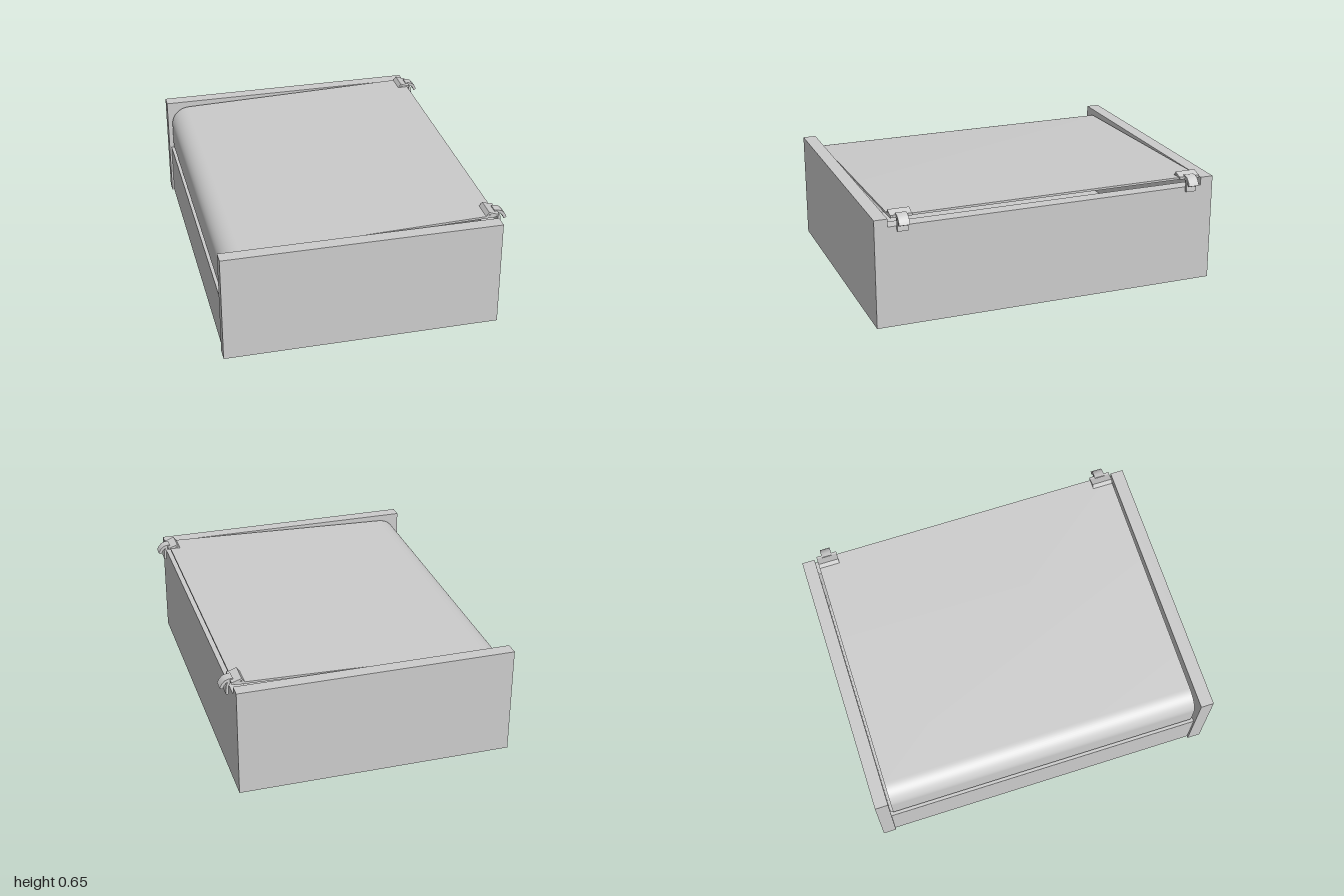
import * as THREE from 'three';
import { toCreasedNormals } from 'three/addons/utils/BufferGeometryUtils.js';

const material = new THREE.MeshStandardMaterial({ color: 0xcccccc });

function add(group, name, geometry) {
  const mesh = new THREE.Mesh(geometry, material);
  mesh.name = name;
  group.add(mesh);
  return mesh;
}

// Box given by its lower and upper limits on each axis
function block(group, name, [x0, x1], [y0, y1], [z0, z1]) {
  const mesh = add(group, name, new THREE.BoxGeometry(x1 - x0, y1 - y0, z1 - z0));
  mesh.position.set((x0 + x1) / 2, (y0 + y1) / 2, (z0 + z1) / 2);
  return mesh;
}

// Profile in x and y, extruded along z from z0 to z1
function extrude(group, name, shape, z0, z1) {
  const geometry = new THREE.ExtrudeGeometry(shape, { depth: z1 - z0, bevelEnabled: false, curveSegments: 16 });
  geometry.translate(0, 0, z0);
  return add(group, name, toCreasedNormals(geometry, 0.6));
}

// Closed strip of constant thickness around a polyline
function strip(points, thickness) {
  const p = points.map(([x, y]) => new THREE.Vector2(x, y));
  const side = (s) => p.map((q, i) => {
    const t = p[Math.min(i + 1, p.length - 1)].clone().sub(p[Math.max(i - 1, 0)]).normalize();
    return new THREE.Vector2(q.x - t.y * s * thickness / 2, q.y + t.x * s * thickness / 2);
  });
  return new THREE.Shape([...side(-1), ...side(1).reverse()]);
}

export function createModel() {
  const group = new THREE.Group();
  group.name = 'lidded box';

  // End panels, side walls and recessed floor
  block(group, 'frontPanel', [-0.805, 0.747], [0, 0.62], [0.925, 1]);
  block(group, 'backPanel', [-0.805, 0.747], [0, 0.62], [-1, -0.925]);
  block(group, 'clipSideWall', [0.67, 0.747], [0, 0.575], [-0.925, 0.925]);
  block(group, 'lowerSideWall', [-0.793, -0.768], [0, 0.31], [-0.925, 0.925]);
  block(group, 'floor', [-0.768, 0.67], [0.05, 0.075], [-0.925, 0.925]);

  // Thin lid: gently sloping top that rolls over into a vertical side
  const lid = new THREE.Shape();
  lid.moveTo(0.737, 0.632);
  lid.lineTo(-0.67, 0.592);
  lid.bezierCurveTo(-0.732, 0.59, -0.78, 0.542, -0.78, 0.482);
  lid.lineTo(-0.78, 0.33);
  lid.lineTo(-0.768, 0.33);
  lid.lineTo(-0.768, 0.482);
  lid.bezierCurveTo(-0.768, 0.535, -0.726, 0.578, -0.67, 0.58);
  lid.lineTo(0.737, 0.62);
  extrude(group, 'lid', lid, -0.91, 0.91);

  // Latches at both ends of the lid edge
  for (const s of [-1, 1]) {
    const latch = new THREE.Group();
    latch.name = s > 0 ? 'frontLatch' : 'backLatch';
    latch.position.z = s * 0.85;
    extrude(latch, 'latchPlate', strip([[0.682, 0.625], [0.695, 0.648], [0.75, 0.628]], 0.012), -0.06, 0.06);
    extrude(latch, 'latchBase', strip([[0.69, 0.63], [0.752, 0.633]], 0.012), -0.06, 0.06);
    extrude(latch, 'latchLever',
      strip([[0.735, 0.637], [0.757, 0.635], [0.775, 0.629], [0.79, 0.613], [0.8, 0.592]], 0.017), -0.03, 0.03);
    extrude(latch, 'latchCatch',
      strip([[0.745, 0.63], [0.758, 0.62], [0.766, 0.6], [0.768, 0.552]], 0.014), -0.03, 0.03);
    group.add(latch);
  }
  return group;
}
